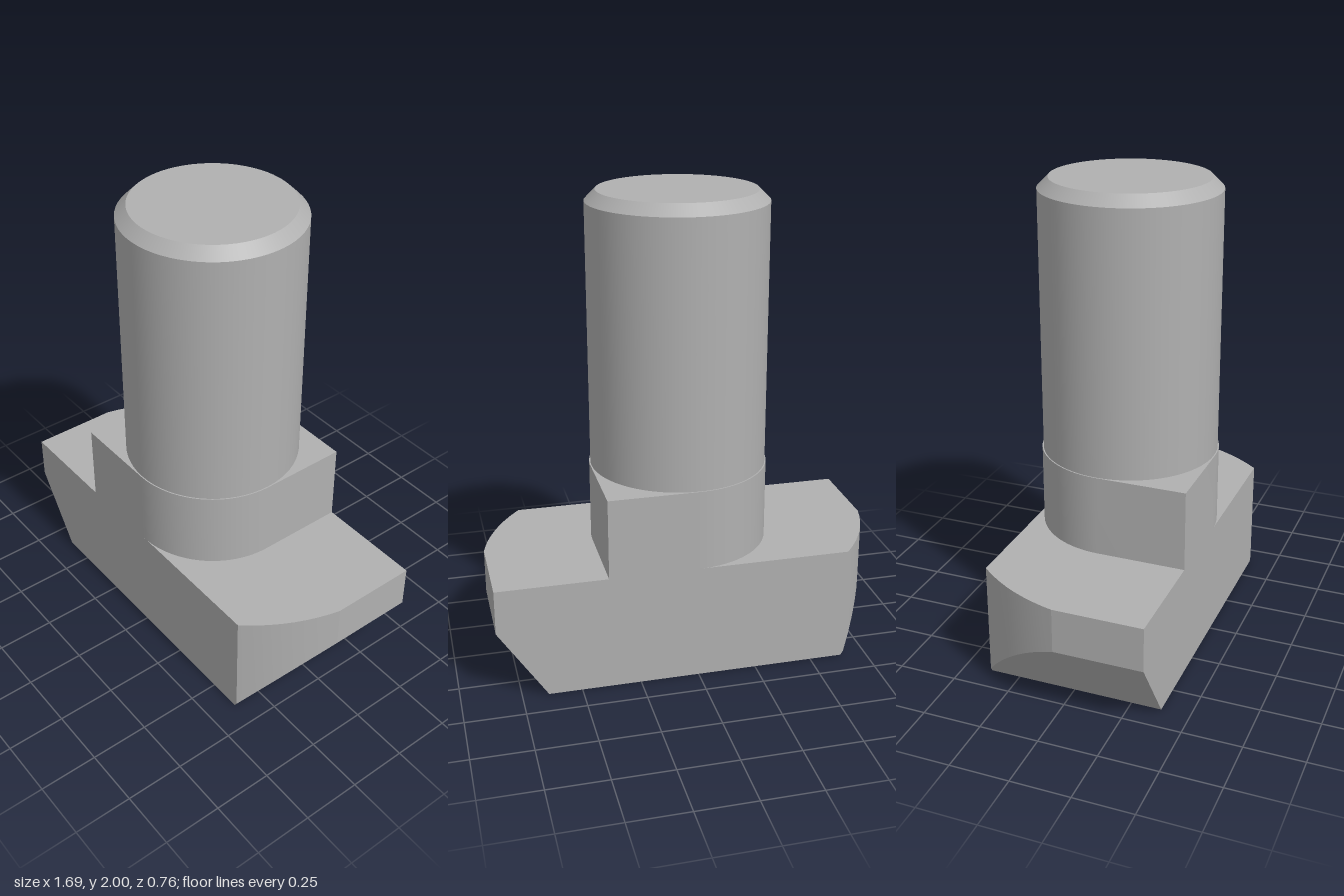
import * as THREE from 'three';
import { toCreasedNormals } from 'three/addons/utils/BufferGeometryUtils.js';

const HALF = 0.378;   // half depth of head and neck
const REACH = 0.845;  // half length of head
const FOOT = 0.64;    // half length of the underside
const HEAD_TOP = 0.5, NECK_TOP = 0.845, TIP = 1.955;

// Half length of the head at depth z: straight, then cut off by an arc
function reachAt(z) {
  if (z <= 0) return REACH;
  const r = 0.85, a = 0.22; // arc radius, angle where it starts
  const s = (z + r * Math.sin(a)) / r;
  return REACH - r * Math.cos(a) + r * Math.sqrt(1 - s * s);
}

// Head: cross-sections lofted along z, with undercut ends
function headGeometry() {
  const zs = [-HALF];
  const n = 8;
  for (let i = -n + 1; i <= n; i++) zs.push((HALF * i) / n);
  const rise = x => Math.max(0, (x - FOOT) / (REACH - FOOT)) * 0.31;
  const rows = zs.map(z => {
    const r = reachAt(z), l = reachAt(-z);
    return [[-FOOT, 0], [FOOT, 0], [r, rise(r)], [r, HEAD_TOP], [-l, HEAD_TOP], [-l, rise(l)]]
      .map(([x, y]) => [x, y, z]);
  });
  const pos = [];
  const tri = (a, b, c) => pos.push(...a, ...b, ...c);
  for (let i = 0; i < rows.length - 1; i++) {
    for (let k = 0; k < 6; k++) {
      const m = (k + 1) % 6;
      tri(rows[i][k], rows[i][m], rows[i + 1][m]);
      tri(rows[i][k], rows[i + 1][m], rows[i + 1][k]);
    }
  }
  const back = rows[0], front = rows[rows.length - 1];
  for (let k = 1; k < 5; k++) {
    tri(front[0], front[k], front[k + 1]);
    tri(back[0], back[k + 1], back[k]);
  }
  const g = new THREE.BufferGeometry();
  g.setAttribute('position', new THREE.Float32BufferAttribute(pos, 3));
  return toCreasedNormals(g, 0.18);
}

// Neck: square with two opposite corners fully rounded
function neckGeometry() {
  const s = new THREE.Shape();
  s.moveTo(-HALF, -HALF);
  s.lineTo(0, -HALF);
  s.absarc(0, 0, HALF, -Math.PI / 2, 0, false);
  s.lineTo(HALF, HALF);
  s.lineTo(0, HALF);
  s.absarc(0, 0, HALF, Math.PI / 2, Math.PI, false);
  s.closePath();
  const g = new THREE.ExtrudeGeometry(s, { depth: NECK_TOP - HEAD_TOP, bevelEnabled: false, curveSegments: 20 });
  g.rotateX(-Math.PI / 2);
  g.translate(0, HEAD_TOP, 0);
  return toCreasedNormals(g, 0.4);
}

export function createModel() {
  const group = new THREE.Group();
  group.name = 'slotBolt';
  const steel = new THREE.MeshStandardMaterial({ color: 0xb0b0b0 });
  steel.name = 'steelGrey';
  const add = (name, geometry, y = 0) => {
    const mesh = new THREE.Mesh(geometry, steel);
    mesh.name = name;
    mesh.position.y = y;
    group.add(mesh);
  };

  add('head', headGeometry());
  add('neck', neckGeometry());
  // Round shank with a chamfered tip
  add('shank', new THREE.CylinderGeometry(0.373, 0.373, TIP - NECK_TOP, 64, 1, true), (TIP + NECK_TOP) / 2);
  add('chamferedTip', new THREE.CylinderGeometry(0.328, 0.373, 2 - TIP, 64), (TIP + 2) / 2);
  return group;
}
